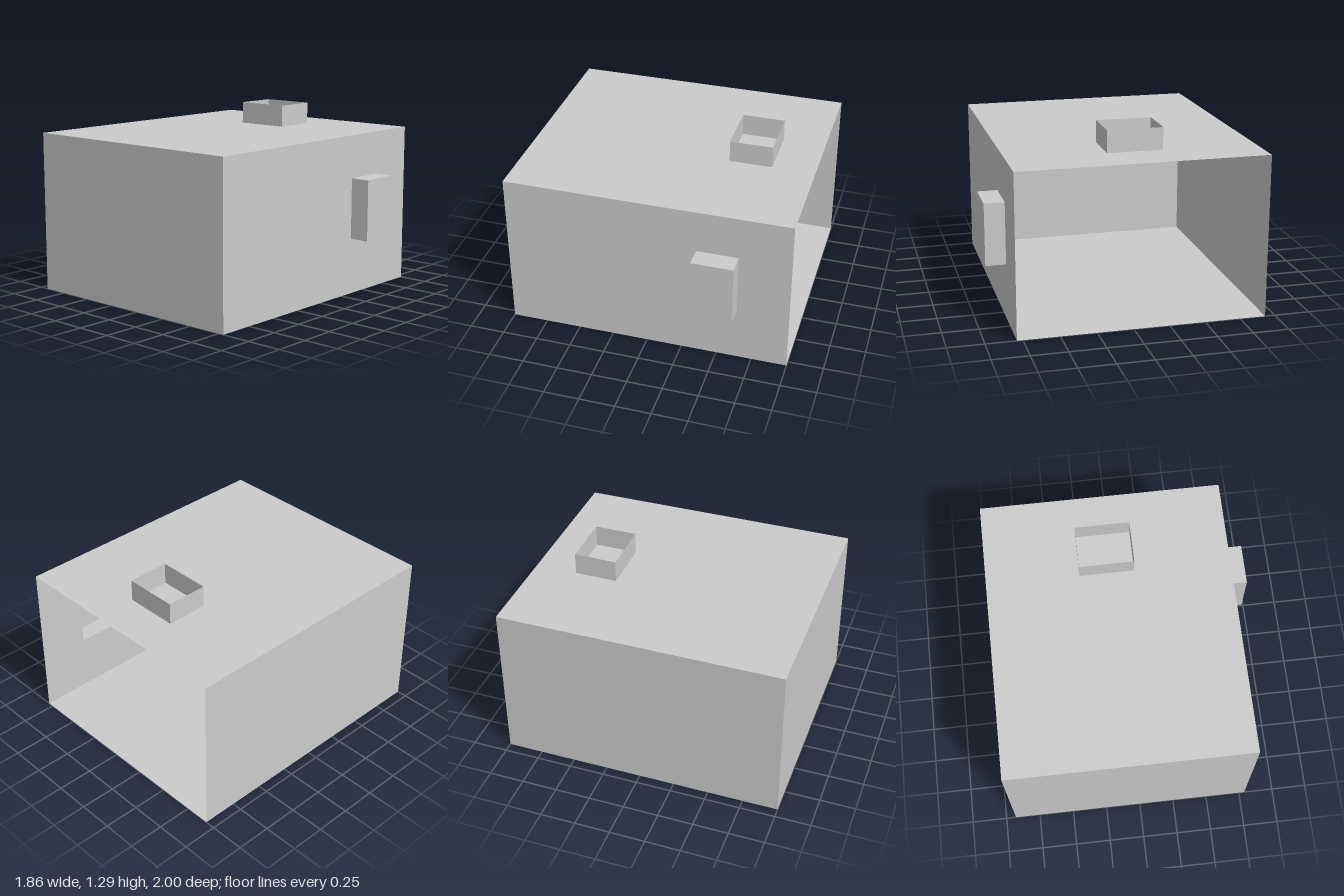
import * as THREE from 'three';

const material = new THREE.MeshStandardMaterial({ color: 0xcccccc, side: THREE.DoubleSide, flatShading: true });

// Main dimensions
const L = -0.93, R = 0.79, H = 1.14, BACK = -1, FRONT = 1;
const niche = { x0: R, x1: 0.93, y0: 0.4, y1: 0.835, z0: -0.64, z1: -0.35 };
const collar = { x0: -0.275, x1: 0.11, y0: 1.05, y1: 1.295, z0: -0.7, z1: -0.4 };

// Thin sheet covering the box range on one axis plane
function sheet(name, b, axis, at) {
  const size = { x: b.x1 - b.x0, y: b.y1 - b.y0, z: b.z1 - b.z0 };
  const mid = { x: (b.x0 + b.x1) / 2, y: (b.y0 + b.y1) / 2, z: (b.z0 + b.z1) / 2 };
  let g;
  if (axis === 'x') g = new THREE.PlaneGeometry(size.z, size.y).rotateY(Math.PI / 2);
  else if (axis === 'y') g = new THREE.PlaneGeometry(size.x, size.z).rotateX(-Math.PI / 2);
  else g = new THREE.PlaneGeometry(size.x, size.y);
  mid[axis] = at;
  g.translate(mid.x, mid.y, mid.z);
  const m = new THREE.Mesh(g, material);
  m.name = name;
  return m;
}

// Flat rectangle with a rectangular opening
function framed(name, [a0, b0, a1, b1], [c0, d0, c1, d1]) {
  const rect = (T, x0, y0, x1, y1) => {
    const p = new T();
    p.moveTo(x0, y0); p.lineTo(x1, y0); p.lineTo(x1, y1); p.lineTo(x0, y1); p.closePath();
    return p;
  };
  const s = rect(THREE.Shape, a0, b0, a1, b1);
  s.holes.push(rect(THREE.Path, c0, d0, c1, d1));
  const m = new THREE.Mesh(new THREE.ShapeGeometry(s), material);
  m.name = name;
  return m;
}

function part(name, ...meshes) {
  const g = new THREE.Group();
  g.name = name;
  g.add(...meshes);
  return g;
}

export function createModel() {
  const model = new THREE.Group();
  model.name = 'room';
  const room = { x0: L, x1: R, y0: 0, y1: H, z0: BACK, z1: FRONT };

  // Left wall with the opening into the niche
  const leftWall = framed('leftWall', [BACK, 0, FRONT, H], [niche.z0, niche.y0, niche.z1, niche.y1]);
  leftWall.geometry.rotateY(-Math.PI / 2).translate(R, 0, 0);

  // Shell, open at the back
  model.add(part('shell',
    sheet('floor', room, 'y', 0),
    sheet('roof', room, 'y', H),
    sheet('frontWall', room, 'z', FRONT),
    sheet('rightWall', room, 'x', L),
    leftWall));

  // Niche pushed out of the left wall, open to the room
  model.add(part('wallNiche',
    sheet('nicheOuterWall', niche, 'x', niche.x1),
    sheet('nicheFloor', niche, 'y', niche.y0),
    sheet('nicheTop', niche, 'y', niche.y1),
    sheet('nicheBack', niche, 'z', niche.z0),
    sheet('nicheFront', niche, 'z', niche.z1)));

  // Roof collar reaching through the roof, with a narrow rim under the ceiling
  const t = 0.03;
  const rim = framed('collarRim', [collar.x0, -collar.z1, collar.x1, -collar.z0],
    [collar.x0 + t, -collar.z1 + t, collar.x1 - t, -collar.z0 - t]);
  rim.geometry.rotateX(-Math.PI / 2).translate(0, collar.y0, 0);
  model.add(part('roofCollar',
    sheet('collarRight', collar, 'x', collar.x0),
    sheet('collarLeft', collar, 'x', collar.x1),
    sheet('collarBack', collar, 'z', collar.z0),
    sheet('collarFront', collar, 'z', collar.z1),
    rim));

  return model;
}
